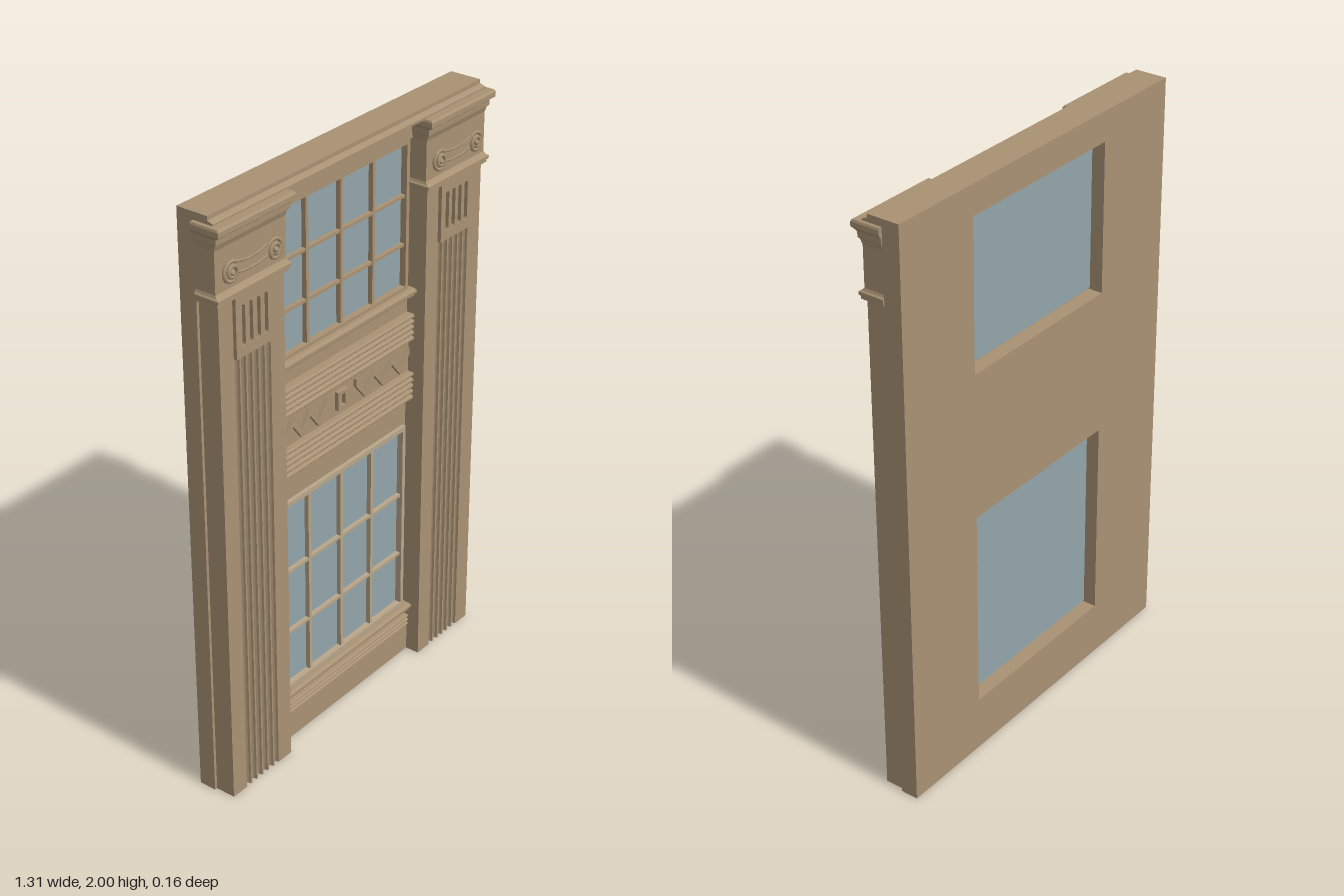
import * as THREE from 'three';

const stone = new THREE.MeshStandardMaterial({ color: 0xa89274 });
stone.name = 'stone';
const paint = new THREE.MeshStandardMaterial({ color: 0xb8a68a });
paint.name = 'pale sash paint';
const glass = new THREE.MeshStandardMaterial({ color: 0x92a5aa });
glass.name = 'window glass';

function add(parent, name, geometry, material = stone) {
  const mesh = new THREE.Mesh(geometry, material);
  mesh.name = name;
  parent.add(mesh);
  return mesh;
}

// Box given by its limits
function box(x0, x1, y0, y1, z0, z1) {
  return new THREE.BoxGeometry(x1 - x0, y1 - y0, z1 - z0)
    .translate((x0 + x1) / 2, (y0 + y1) / 2, (z0 + z1) / 2);
}

const toShape = (pts) => new THREE.Shape(pts.map(([x, y]) => new THREE.Vector2(x, y)));
const rect = (x0, x1, y0, y1) => [[x0, y0], [x1, y0], [x1, y1], [x0, y1]];

// Plate in the xy plane with optional holes
function plate(outline, holes, z0, z1) {
  const shape = toShape(outline);
  for (const h of holes) shape.holes.push(toShape(h));
  return new THREE.ExtrudeGeometry(shape, { depth: z1 - z0, bevelEnabled: false }).translate(0, 0, z0);
}

// Horizontal moulding: (z, y) profile run along x
function runX(profile, x0, x1) {
  return new THREE.ExtrudeGeometry(toShape(profile), { depth: x1 - x0, bevelEnabled: false })
    .rotateY(-Math.PI / 2).translate(x1, 0, 0);
}

// Reeded band: n rounded ridges between y0 and y1
function reeds(y0, y1, n, zBack, zFront) {
  const pts = [[zBack, y0]];
  const pitch = (y1 - y0) / n;
  const low = zFront - 0.014;
  for (let i = 0; i < n; i++) {
    const y = y0 + i * pitch;
    pts.push([low, y + 0.001], [low, y + pitch * 0.25], [zFront - 0.004, y + pitch * 0.3],
      [zFront, y + pitch * 0.5], [zFront, y + pitch * 0.8], [zFront - 0.004, y + pitch * 0.97]);
  }
  pts.push([zBack, y1]);
  return pts;
}

// Rectangular moulded block: rows of [y, projection], lofted on three sides
function moulded(x0, x1, zBack, zFront, rows) {
  const pos = [];
  const rings = rows.map(([y, p]) => {
    const q = p * 0.5;
    return [[x0 - q, y, zFront + p], [x1 + q, y, zFront + p], [x1 + q, y, zBack], [x0 - q, y, zBack]];
  });
  const quad = (a, b, c, d) => pos.push(...a, ...b, ...c, ...a, ...c, ...d);
  for (let i = 0; i < rings.length - 1; i++) {
    for (let k = 0; k < 4; k++) {
      const n = (k + 1) % 4;
      quad(rings[i][k], rings[i][n], rings[i + 1][n], rings[i + 1][k]);
    }
  }
  const last = rings[rings.length - 1];
  quad(last[0], last[1], last[2], last[3]);
  quad(rings[0][3], rings[0][2], rings[0][1], rings[0][0]);
  const g = new THREE.BufferGeometry();
  g.setAttribute('position', new THREE.Float32BufferAttribute(pos, 3));
  g.computeVertexNormals();
  return g;
}

function tube(points, radius, segments) {
  const curve = new THREE.CatmullRomCurve3(points.map((p) => new THREE.Vector3(...p)));
  return new THREE.TubeGeometry(curve, segments, radius, 6, false);
}

// Pilaster with fluted shaft, slotted panel and scrolled capital
function pilaster() {
  const g = new THREE.Group();

  // Shaft plan, with half-round flutes in the front face
  const plan = [[0.345, 0.02], [0.345, -0.05]];
  const flutes = 6, start = 0.405, pitch = 0.165 / flutes, r = 0.0105;
  for (let i = 0; i < flutes; i++) {
    const c = start + (i + 0.5) * pitch;
    for (let k = 0; k <= 6; k++) {
      const a = (k / 6) * Math.PI;
      plan.push([c - r * Math.cos(a), -0.05 + 1.5 * r * Math.sin(a)]);
    }
  }
  plan.push([0.63, -0.05], [0.63, 0.02]);
  const shaft = new THREE.ExtrudeGeometry(toShape(plan), { depth: 1.54, bevelEnabled: false });
  add(g, 'flutedShaft', shaft.rotateX(-Math.PI / 2));
  add(g, 'shaftTop', box(0.345, 0.63, 1.54, 1.74, -0.02, 0.05));

  // Neck panel with four round-ended slots
  const slots = [0, 1, 2, 3].map((i) => {
    const c = 0.436 + i * 0.033, w = 0.009, pts = [];
    for (let k = 0; k <= 6; k++) {
      const a = (k / 6) * Math.PI;
      pts.push([c + w * Math.cos(a), 1.695 + w * Math.sin(a)]);
    }
    for (let k = 0; k <= 6; k++) {
      const a = Math.PI + (k / 6) * Math.PI;
      pts.push([c + w * Math.cos(a), 1.58 + w * Math.sin(a)]);
    }
    return pts;
  });
  add(g, 'neckPanel', plate(rect(0.405, 0.567, 1.54, 1.735), slots, 0.05, 0.062));

  // Capital with necking and crown mouldings
  add(g, 'capital', moulded(0.335, 0.637, -0.02, 0.05, [
    [1.73, 0], [1.733, 0.012], [1.742, 0.012], [1.745, 0.018], [1.755, 0.018], [1.76, 0.008],
    [1.768, 0.002], [1.9, 0.002], [1.918, 0.008], [1.922, 0.014], [1.94, 0.015], [1.948, 0.024],
    [1.952, 0.031], [1.968, 0.031], [1.975, 0.026]]));

  // Scrolls joined by curved bands
  const mid = 0.485;
  for (const s of [-1, 1]) {
    const pts = [];
    for (let k = 0; k <= 26; k++) {
      const a = Math.PI * 0.75 - (k / 26) * Math.PI * 3.6;
      const rad = 0.034 - 0.024 * (k / 26);
      pts.push([mid + s * (0.094 + rad * Math.cos(a)), 1.82 + rad * Math.sin(a), 0.06 + 0.008 * (k / 26)]);
    }
    add(g, 'scroll', tube(pts, 0.006, 70));
    add(g, 'scrollEye', new THREE.SphereGeometry(0.009, 10, 8).translate(mid + s * 0.094, 1.82, 0.066));
  }
  for (const [y, sag] of [[1.844, 0.012], [1.808, 0.008]]) {
    add(g, 'scrollBand', tube([[mid - 0.07, y, 0.054], [mid - 0.035, y - sag * 0.8, 0.054], [mid, y - sag, 0.054],
      [mid + 0.035, y - sag * 0.8, 0.054], [mid + 0.07, y, 0.054]], 0.004, 20));
  }
  return g;
}

// Four by three paned window between y0 and y1
function windowUnit(name, y0, y1, bars, material) {
  const g = new THREE.Group();
  g.name = name;
  add(g, 'glass', box(-0.32, 0.32, y0, y1, -0.034, -0.028), glass);
  add(g, 'sashFrame', plate(rect(-0.33, 0.33, y0 - 0.008, y1 + 0.008),
    [rect(-0.315, 0.315, y0 + 0.008, y1 - 0.008)], -0.03, -0.006), material);
  for (const x of [-0.162, 0, 0.158]) add(g, 'verticalBar', box(x - 0.006, x + 0.006, y0, y1, -0.0335, -0.012), material);
  for (const y of bars) add(g, 'horizontalBar', box(-0.318, 0.318, y - 0.005, y + 0.005, -0.0335, -0.013), material);
  return g;
}

// Flat zigzag ribbon
function zigzag(x0, x1) {
  const n = 6, upper = [], lower = [];
  for (let i = 0; i <= n; i++) {
    const x = x0 + (x1 - x0) * (i / n);
    const y = i % 2 ? 1.105 : 1.16;
    upper.push([x, y + 0.022]);
    lower.unshift([x, y - 0.003]);
  }
  return plate([...lower.reverse(), ...upper.reverse()], [], -0.014, 0);
}

export function createModel() {
  const root = new THREE.Group();
  root.name = 'facadeBay';

  // Wall with two openings
  add(root, 'wall', plate(rect(-0.64, 0.64, 0, 2),
    [rect(-0.32, 0.32, 0.19, 0.89), rect(-0.32, 0.32, 1.39, 1.9)], -0.08, -0.02));

  // Cornice across the top
  add(root, 'cornice', runX([[-0.02, 1.955], [0.022, 1.955], [0.03, 1.965], [0.05, 1.972], [0.05, 1.98],
    [0.04, 1.984], [0.03, 1.987], [0.03, 2], [-0.02, 2]], -0.64, 0.64));
  add(root, 'topFrieze', box(-0.345, 0.345, 1.9, 1.96, -0.02, 0));

  // Pilasters, left and right
  for (const side of [1, -1]) {
    const p = pilaster();
    p.name = side > 0 ? 'leftPilaster' : 'rightPilaster';
    if (side < 0) p.position.x = -0.975;
    root.add(p);
  }

  // Windows and sills
  root.add(windowUnit('upperWindow', 1.395, 1.89, [1.71, 1.545], stone));
  root.add(windowUnit('lowerWindow', 0.195, 0.885, [0.63, 0.4], paint));
  for (const y of [1.365, 0.165]) {
    add(root, 'sill', runX([[-0.02, y], [0.008, y], [0.01, y + 0.012], [0.018, y + 0.014],
      [0.018, y + 0.022], [0.006, y + 0.026], [-0.03, y + 0.027]], -0.345, 0.345));
  }

  // Spandrel with reeded bands, frieze ornament and base
  add(root, 'upperReeds', runX(reeds(1.2, 1.3, 5, -0.02, 0.01), -0.345, 0.345));
  add(root, 'lowerReeds', runX(reeds(0.985, 1.09, 5, -0.02, 0.01), -0.345, 0.345));
  add(root, 'friezePanel', box(-0.345, 0.345, 1.09, 1.2, -0.02, -0.012));
  add(root, 'friezeZigzag', zigzag(-0.335, -0.085));
  add(root, 'friezeZigzag', zigzag(0.06, 0.335));
  add(root, 'friezeBlock', plate(rect(-0.034, 0.014, 1.113, 1.177), [rect(-0.022, 0.002, 1.125, 1.165)], -0.012, 0.002));
  add(root, 'baseReeds', runX(reeds(0.095, 0.142, 3, -0.02, 0.006), -0.345, 0.345));
  add(root, 'basePlinth', box(-0.345, 0.345, 0, 0.095, -0.02, 0));

  return root;
}
